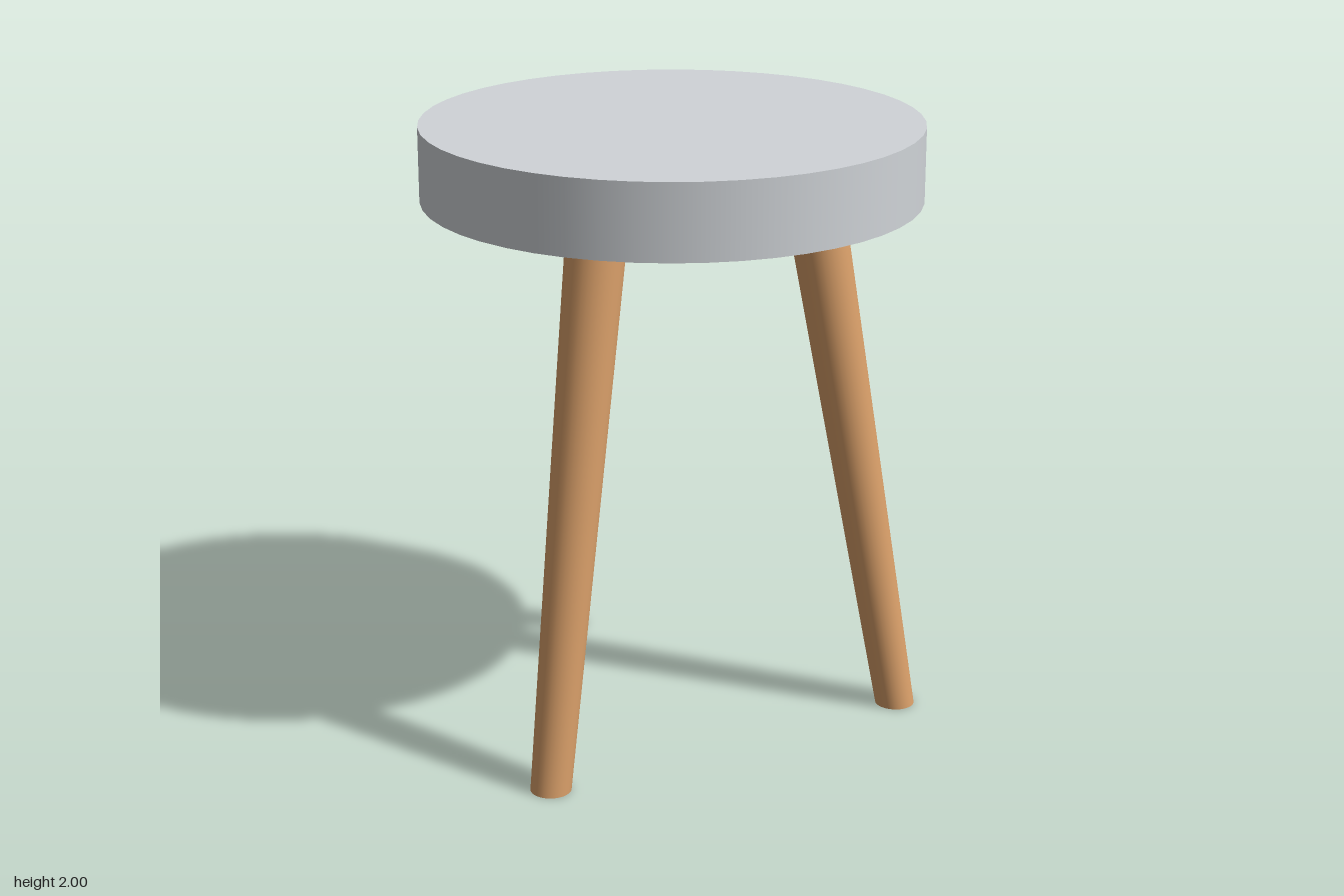
import * as THREE from 'three';

const SEAT_Z = 0.01;    // seat axis, offset so the whole stool is centred
const SEAT_RADIUS = 0.797;
const SEAT_BOTTOM = 1.76;
const SEAT_TOP = 2;
const LEG_TOP = 1.78;   // legs sink slightly into the seat

// Tapered leg sheared outward along +z, so its ends stay level
function makeLegGeometry() {
  const geometry = new THREE.CylinderGeometry(0.096, 0.065, LEG_TOP, 32, 4);
  geometry.translate(0, LEG_TOP / 2, 0);
  const splay = (0.447 - 0.753) / SEAT_BOTTOM;
  geometry.applyMatrix4(new THREE.Matrix4().set(
    1, 0, 0, 0,
    0, 1, 0, 0,
    0, splay, 1, 0.753,
    0, 0, 0, 1
  ));
  return geometry;
}

export function createModel() {
  const group = new THREE.Group();
  group.name = 'stool';

  const grey = new THREE.MeshStandardMaterial({ color: 0xd0d4d8 });
  grey.name = 'light grey';
  const wood = new THREE.MeshStandardMaterial({ color: 0xdaa06a });
  wood.name = 'warm wood';

  // Round seat
  const seat = new THREE.Mesh(
    new THREE.CylinderGeometry(SEAT_RADIUS, SEAT_RADIUS, SEAT_TOP - SEAT_BOTTOM, 48),
    grey
  );
  seat.name = 'seat';
  seat.position.set(0, (SEAT_TOP + SEAT_BOTTOM) / 2, SEAT_Z);
  group.add(seat);

  // Three legs: front left, back, front right
  const legGeometry = makeLegGeometry();
  ['frontLeftLeg', 'backLeg', 'frontRightLeg'].forEach((name, i) => {
    const leg = new THREE.Mesh(legGeometry, wood);
    leg.name = name;
    leg.position.z = SEAT_Z;
    leg.rotation.y = Math.PI / 3 + i * Math.PI * 2 / 3;
    group.add(leg);
  });

  return group;
}
